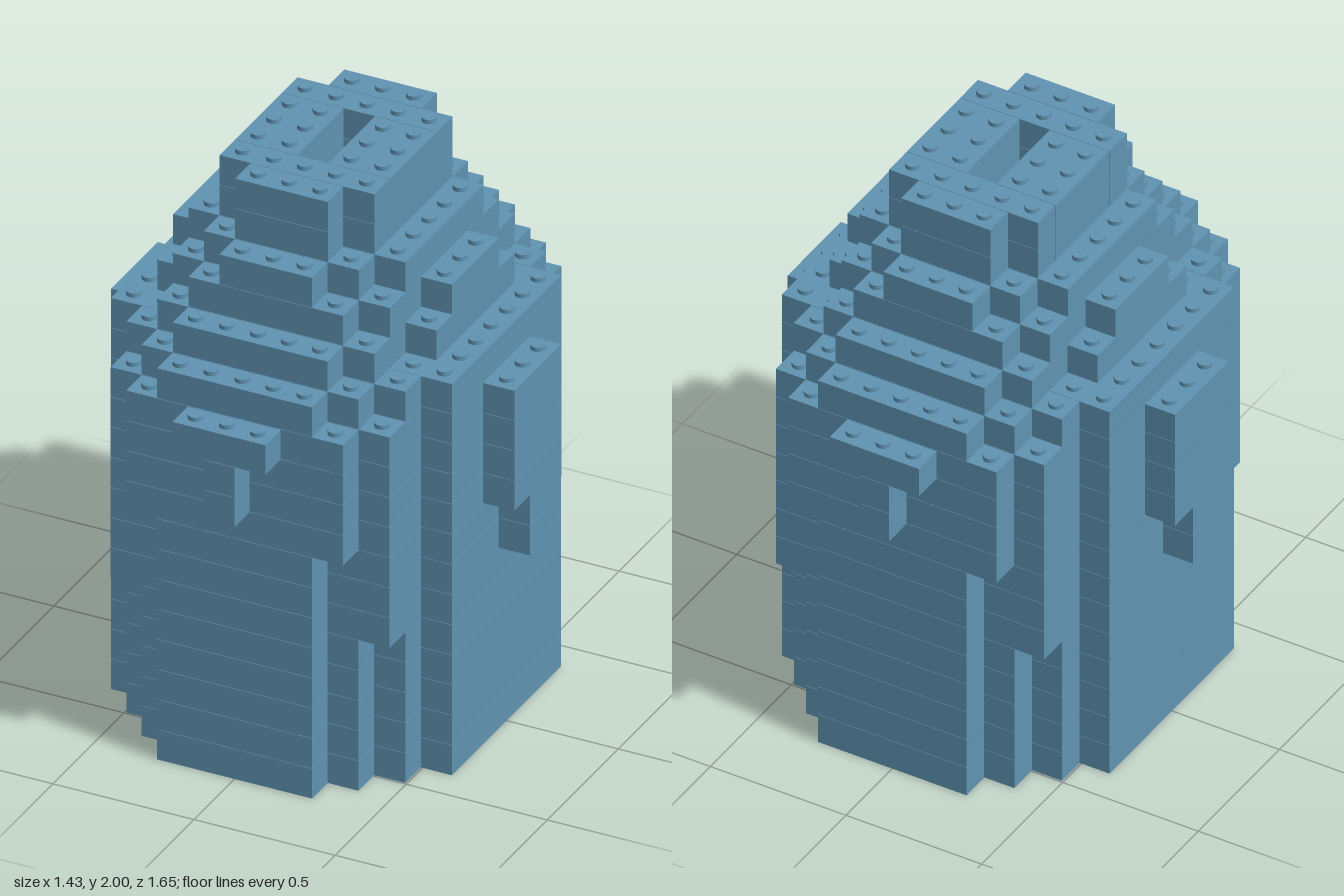
import * as THREE from 'three';
import { mergeGeometries } from 'three/addons/utils/BufferGeometryUtils.js';

const CELL = 0.11;         // stud pitch
const LAYER = 1.985 / 18;  // brick height
const GAP = 0.0015;        // hairline seam between bricks
const STUD_R = 0.025;
const STUD_H = 0.015;
const MAX_X = 6, MAX_Z = 7;

// Half-widths in cells for rows |z| = 0, 1, 2, ...
const BODY = [5, 5, 5, 5, 4, 3, 2];
const WAIST = [5, 5, 5, 5, 4, 4, 2];
const CHEST = [5, 5, 5, 5, 4, 4, 3];
const SHAPES = [
  BODY, BODY, BODY, BODY, BODY,
  WAIST, WAIST, WAIST,
  CHEST, CHEST, CHEST, CHEST,
  BODY,
  [4, 4, 4, 3, 3, 2],
  [4, 4, 3, 3, 2],
  [3, 3, 3, 2, 1],
  [2, 2, 2, 1],
  [2, 2, 2, 1],
];

// True when the cell is part of a brick
function filled(layer, x, z) {
  if (layer >= SHAPES.length) return false;
  const ax = Math.abs(x), az = Math.abs(z);
  // slot in the top
  if (layer >= 16 && ax === 0 && az <= 1) return false;
  // side knobs, with a narrow stem below
  if (ax === 6) return (layer >= 8 && layer <= 11 && az <= 1) || (layer >= 6 && layer < 8 && az === 0);
  // front and back knobs, with a narrow stem below
  if (az === 7) return (layer === 11 && ax <= 1) || ((layer === 9 || layer === 10) && ax === 0);
  return az < SHAPES[layer].length && ax <= SHAPES[layer][az];
}

// Runs of filled cells along x in one row
function rowRuns(layer, z) {
  const runs = [];
  for (let x = -MAX_X; x <= MAX_X; x++) {
    if (!filled(layer, x, z)) continue;
    const last = runs[runs.length - 1];
    if (last && last[1] === x - 1) last[1] = x;
    else runs.push([x, x]);
  }
  return runs;
}

// Bricks of a layer: equal runs in neighbouring rows are joined
function layerBricks(layer) {
  const bricks = [];
  for (let z = -MAX_Z; z <= MAX_Z; z++) {
    for (const [x0, x1] of rowRuns(layer, z)) {
      const same = bricks.find((b) => b.x0 === x0 && b.x1 === x1 && b.z1 === z - 1);
      if (same) same.z1 = z;
      else bricks.push({ x0, x1, z0: z, z1: z });
    }
  }
  return bricks;
}

function brickGeometry({ x0, x1, z0, z1 }, layer) {
  const g = new THREE.BoxGeometry(
    (x1 - x0 + 1) * CELL - GAP, LAYER - GAP, (z1 - z0 + 1) * CELL - GAP);
  return g.translate((x0 + x1) / 2 * CELL, (layer + 0.5) * LAYER, (z0 + z1) / 2 * CELL);
}

// Studs on every cell with nothing on top of it
function studGeometries(layer) {
  const studs = [];
  for (let x = -MAX_X; x <= MAX_X; x++) {
    for (let z = -MAX_Z; z <= MAX_Z; z++) {
      if (!filled(layer, x, z) || filled(layer + 1, x, z)) continue;
      const g = new THREE.CylinderGeometry(STUD_R, STUD_R, STUD_H, 16);
      studs.push(g.translate(x * CELL, (layer + 1) * LAYER + STUD_H / 2 - GAP / 2, z * CELL));
    }
  }
  return studs;
}

export function createModel() {
  const model = new THREE.Group();
  model.name = 'brickHead';
  const blue = new THREE.MeshStandardMaterial({ color: 0x5f93b1 });
  blue.name = 'sandBlue';

  for (let layer = 0; layer < SHAPES.length; layer++) {
    const bricks = layerBricks(layer).map((b) => brickGeometry(b, layer));
    const brickMesh = new THREE.Mesh(mergeGeometries(bricks), blue);
    brickMesh.name = `brickLayer${layer + 1}`;
    model.add(brickMesh);

    const studs = studGeometries(layer);
    if (studs.length) {
      const studMesh = new THREE.Mesh(mergeGeometries(studs), blue);
      studMesh.name = `studs${layer + 1}`;
      model.add(studMesh);
    }
  }
  return model;
}
